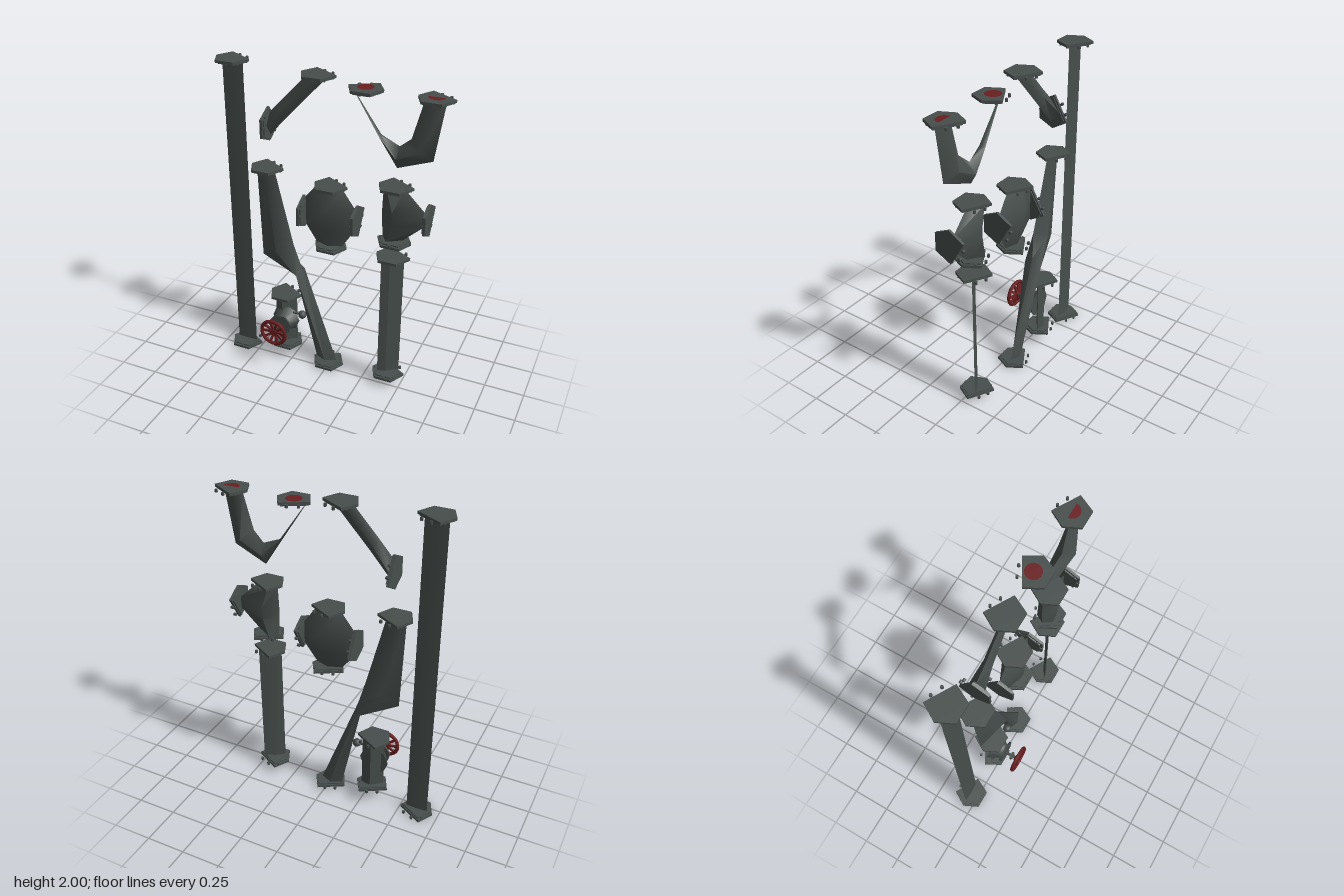
import * as THREE from 'three';
import { toCreasedNormals } from 'three/addons/utils/BufferGeometryUtils.js';

const ZC = -0.055; // depth of every flange centre

// Closed skin through rings of [x, y, z] points
function loft(rings, crease) {
  const n = rings[0].length, pos = rings.flat(2), idx = [];
  for (let i = 0; i < rings.length - 1; i++) {
    for (let j = 0; j < n; j++) {
      const a = i * n + j, b = i * n + (j + 1) % n, c = a + n, d = b + n;
      idx.push(a, c, b, b, c, d);
    }
  }
  const last = (rings.length - 1) * n;
  for (let j = 1; j < n - 1; j++) {
    idx.push(0, j, j + 1, last, last + j + 1, last + j);
  }
  const g = new THREE.BufferGeometry();
  g.setAttribute('position', new THREE.Float32BufferAttribute(pos, 3));
  g.setIndex(idx);
  return toCreasedNormals(g, crease);
}

// Upright prism from an (x, z) outline, built from top to bottom
const prism = (pts, top, bottom) =>
  loft([top, bottom].map((y) => pts.map(([x, z]) => [x, y, z])), 0.3);

// Four-sided body: each station is [ax, ay, bx, by, front z, back z];
// ridge places the front and back edges between a and b
const body = (stations, ridge = 0.5) => loft(stations.map(([ax, ay, bx, by, front, back]) => {
  const mx = ax + (bx - ax) * ridge, my = ay + (by - ay) * ridge, mz = (front + back) / 2;
  return [[ax, ay, mz], [mx, my, front], [bx, by, mz], [mx, my, back]];
}), 1.1);

export function createModel() {
  const iron = new THREE.MeshStandardMaterial({ color: 0x474e4c });
  iron.name = 'dark iron';
  const red = new THREE.MeshStandardMaterial({ color: 0x6a1e20 });
  red.name = 'dull red';
  const model = new THREE.Group();
  model.name = 'pipeKit';

  const add = (parent, name, geo, mat = iron, p = [0, 0, 0], r = [0, 0, 0]) => {
    const m = new THREE.Mesh(geo, mat);
    m.name = name;
    m.position.set(...p);
    m.rotation.set(...r);
    parent.add(m);
    return m;
  };
  const group = (name, parent = model) => {
    const g = new THREE.Group();
    g.name = name;
    parent.add(g);
    return g;
  };

  // Five-sided flange, outer face at its origin, with a collar and ring of bolts
  const outline = [[-0.106, 0], [-0.062, 0.094], [0.052, 0.094], [0.104, -0.006], [-0.05, -0.094]];
  const mirrored = outline.map(([x, z]) => [-x, z]).reverse();
  const boltGeo = new THREE.CylinderGeometry(0.009, 0.009, 0.018, 6);
  function flange(parent, x, y, turn = 0, mirror = false) {
    const f = group('flange', parent);
    f.position.set(x, y, ZC);
    f.rotation.z = turn;
    const pts = mirror ? mirrored : outline;
    add(f, 'flangePlate', prism(pts, 0, -0.016));
    add(f, 'flangeCollar', prism(pts.map(([a, b]) => [a * 0.86, b * 0.86]), -0.016, -0.024));
    for (let i = 0; i < 8; i++) {
      const t = i * Math.PI / 4;
      add(f, 'bolt', boltGeo, iron, [0.085 * Math.sin(t), -0.014, 0.085 * Math.cos(t)]);
    }
    return f;
  }
  const DOWN = Math.PI, RIGHT = Math.PI / 2, LEFT = -Math.PI / 2; // turns about z

  // Long straight pipe, almost flat in section
  const long = group('longPipe');
  add(long, 'longPipeBody', prism([[-0.68, -0.055], [-0.612, -0.051], [-0.545, -0.055],
    [-0.612, -0.059]], 1.98, 0.02));
  flange(long, -0.61, 2);
  flange(long, -0.61, 0, DOWN, true);

  // Short straight pipe with a slim slanted section
  const short = group('shortPipe');
  add(short, 'shortPipeBody', prism([[0.35, -0.015], [0.4, -0.032], [0.47, -0.085],
    [0.4, -0.054]], 0.91, 0.07));
  flange(short, 0.41, 0.93);
  flange(short, 0.41, 0.055, DOWN, true);

  // Diagonal bend
  const bend = group('diagonalBend');
  add(bend, 'bendBody', body([[-0.385, 1.56, -0.385, 1.7, 0, -0.1],
    [-0.24, 1.72, -0.29, 1.8, -0.015, -0.07], [-0.02, 1.955, -0.145, 1.955, -0.02, -0.06]]));
  flange(bend, -0.07, 1.977);
  flange(bend, -0.402, 1.63, RIGHT);

  // U bend, pinched on one leg
  const u = group('uBend');
  add(u, 'uBendBody', body([[0.138, 1.915, 0.142, 1.915, -0.05, -0.056],
    [0.298, 1.67, 0.31, 1.675, -0.03, -0.07], [0.41, 1.497, 0.42, 1.63, -0.01, -0.09],
    [0.62, 1.58, 0.49, 1.69, 0.02, -0.09], [0.67, 1.915, 0.55, 1.915, -0.02, -0.055]]));
  const capA = flange(u, 0.21, 1.937, 0, true);
  add(capA, 'redOpening', new THREE.CircleGeometry(0.048, 20), red, [0, 0.002, 0], [-Math.PI / 2, 0, 0]);
  const capB = flange(u, 0.613, 1.937);
  add(capB, 'redHalfOpening', new THREE.CircleGeometry(0.048, 12, Math.PI, Math.PI), red,
    [0, 0.002, 0], [-Math.PI / 2, 0, 0]);

  // Tall offset pipe, pinched and twisted at the middle
  const offset = group('offsetPipe');
  add(offset, 'offsetBody', body([[-0.475, 1.33, -0.355, 1.33, -0.025, -0.06],
    [-0.45, 0.745, -0.235, 0.86, 0.005, -0.07], [-0.21, 0.61, -0.195, 0.7, 0.005, -0.115],
    [-0.09, 0.03, 0.05, 0.03, -0.025, -0.085]]));
  flange(offset, -0.41, 1.355);
  flange(offset, -0.01, 0.01, DOWN);

  // Four-way cross
  const cross = group('crossJoint');
  add(cross, 'crossBody', body([[-0.085, 1.295, 0.08, 1.295, -0.015, -0.095],
    [-0.16, 1.2, 0.17, 1.17, 0.02, -0.13], [-0.16, 1.02, 0.165, 1.04, 0.01, -0.12],
    [-0.075, 0.91, 0.08, 0.91, -0.015, -0.07]]));
  flange(cross, 0.005, 1.312);
  flange(cross, 0.005, 0.895, DOWN);
  flange(cross, -0.18, 1.105, RIGHT);
  flange(cross, 0.185, 1.105, LEFT);

  // Three-way tee, deepest along its straight wall
  const tee = group('teeJoint');
  add(tee, 'teeBody', body([[0.335, 1.37, 0.465, 1.37, 0, -0.11], [0.33, 1.24, 0.6, 1.235, 0.01, -0.12],
    [0.33, 1.16, 0.595, 1.165, 0.01, -0.12], [0.34, 1.035, 0.455, 1.035, 0, -0.11]], 0.3));
  flange(tee, 0.41, 1.387);
  flange(tee, 0.41, 1.02, DOWN);
  flange(tee, 0.62, 1.205, LEFT);

  // Gate valve
  const valve = group('gateValve');
  const vx = -0.305, vy = 0.287, face = [Math.PI / 2, 0, 0];
  add(valve, 'valveBody', prism([[-0.37, -0.03], [-0.32, -0.015], [-0.24, -0.075],
    [-0.3, -0.085]], 0.47, 0.1));
  flange(valve, -0.305, 0.48);
  flange(valve, -0.305, 0.092, DOWN);
  add(valve, 'bonnet', new THREE.CylinderGeometry(0.045, 0.095, 0.085, 8), iron, [vx, vy, 0], face);
  add(valve, 'bonnetPlate', new THREE.CylinderGeometry(0.075, 0.075, 0.012, 7), iron, [vx, vy, 0.045], face);
  add(valve, 'stem', new THREE.CylinderGeometry(0.009, 0.009, 0.1, 8), iron, [vx, vy, 0.095], face);
  for (const s of [-1, 1]) {
    add(valve, 'stemNut', new THREE.CylinderGeometry(0.011, 0.011, 0.036, 8), iron, [vx + s * 0.013, vy, 0.097]);
  }
  add(valve, 'sideRod', new THREE.CylinderGeometry(0.007, 0.007, 0.06, 6), iron,
    [-0.21, 0.362, -0.015], [0, 0, Math.PI / 2]);
  add(valve, 'sideKnob', new THREE.SphereGeometry(0.028, 8, 6), iron, [-0.175, 0.362, -0.015]);

  // Red handwheel
  const wheel = group('handwheel', valve);
  wheel.position.set(vx, vy, 0.145);
  const rim = add(wheel, 'wheelRim', new THREE.TorusGeometry(0.083, 0.0125, 6, 24), red);
  rim.scale.z = 0.95;
  add(wheel, 'wheelHub', new THREE.CylinderGeometry(0.024, 0.018, 0.03, 10), red, [0, 0, -0.01], face);
  const spokeGeo = new THREE.BoxGeometry(0.074, 0.014, 0.012);
  spokeGeo.rotateY(-0.16);
  spokeGeo.translate(0.05, 0, -0.006);
  for (let i = 0; i < 10; i++) {
    add(wheel, 'wheelSpoke', spokeGeo, red, [0, 0, 0], [0, 0, i * Math.PI / 5]);
  }
  return model;
}
